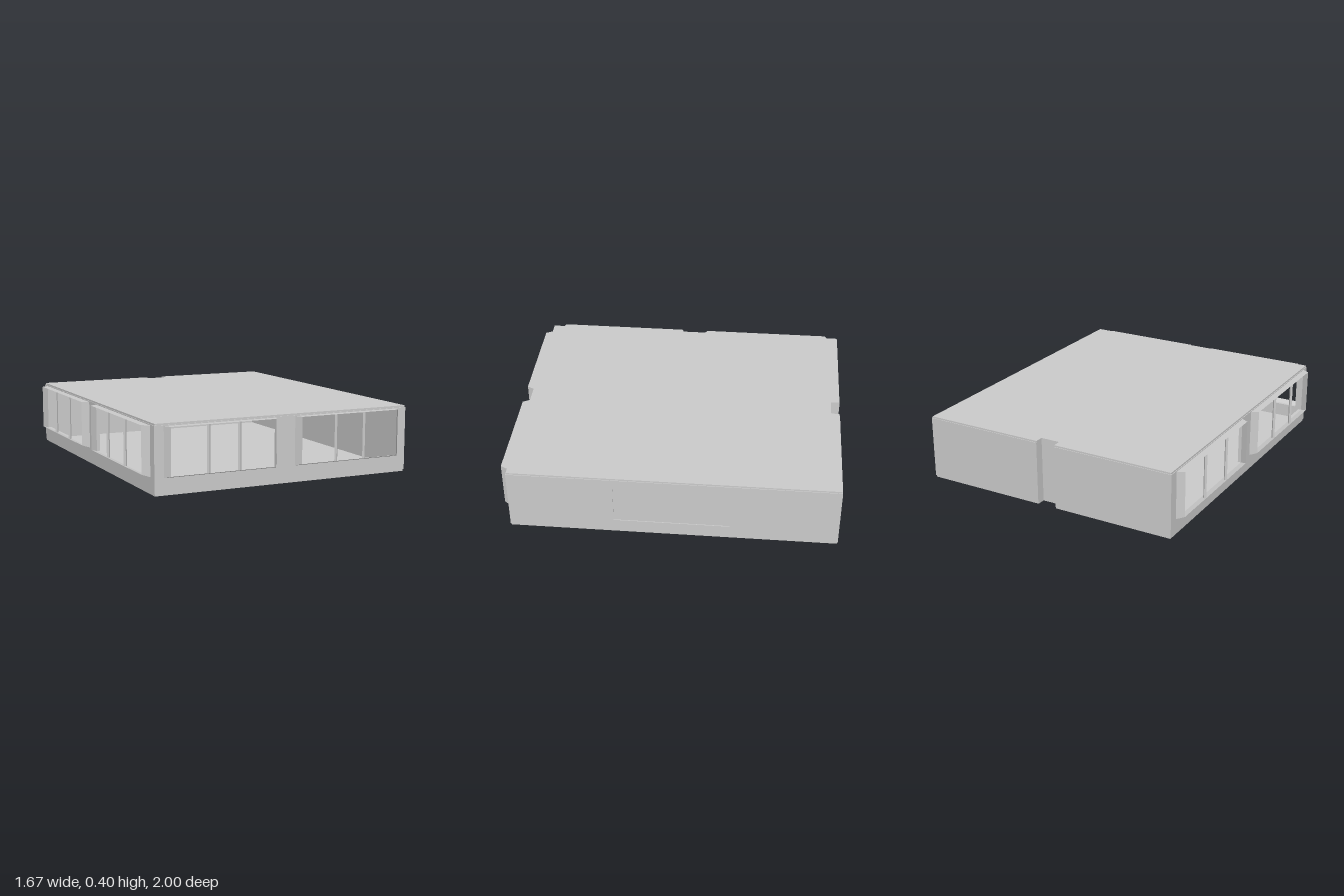
import * as THREE from 'three';

const mat = new THREE.MeshStandardMaterial({ color: 0xcccccc, flatShading: true, side: THREE.DoubleSide });
const LEFT = -0.797, RIGHT = 0.83, FRONT = 0.957, BACK = -1, HEIGHT = 0.4;
const WALL = 0.02, LOW = 0.012, TOP = 0.39;
const SILL = 0.098, HEAD = 0.385, DEPTH = 0.043, SLANT = 0.023;

function add(group, name, geometry, x = 0, y = 0, z = 0) {
  const m = new THREE.Mesh(geometry, mat);
  m.name = name;
  m.position.set(x, y, z);
  group.add(m);
  return m;
}

function block(group, name, x0, x1, y0, y1, z0, z1) {
  return add(group, name, new THREE.BoxGeometry(x1 - x0, y1 - y0, z1 - z0),
    (x0 + x1) / 2, (y0 + y1) / 2, (z0 + z1) / 2);
}

function polygon(points, Type = THREE.Shape) {
  return new Type(points.map(p => new THREE.Vector2(...p)));
}

const rect = (x0, x1, y0, y1) => [[x0, y0], [x1, y0], [x1, y1], [x0, y1]];

// Flat panel with rectangular openings, its outer face at z = 0
function panel(group, name, u0, u1, holes, depth) {
  const shape = polygon(rect(u0, u1, LOW, TOP));
  holes.forEach(h => shape.holes.push(polygon(rect(...h), THREE.Path)));
  add(group, name, new THREE.ExtrudeGeometry(shape, { depth, bevelEnabled: false }), 0, 0, -depth);
}

// Floor or roof plate with the service notch in its back edge
function slab(group, name, y0, y1, inset) {
  const l = LEFT + inset, r = RIGHT - inset, f = FRONT - inset, b = BACK + inset;
  const shape = polygon([[l, -f], [r, -f], [r, -b], [0.075, -b], [0.075, 0.945], [-0.045, 0.945], [-0.045, -b], [l, -b]]);
  const geo = new THREE.ExtrudeGeometry(shape, { depth: y1 - y0, bevelEnabled: false });
  geo.rotateX(-Math.PI / 2);
  add(group, name, geo, 0, y0, 0);
}

// Tapered open window surround with two mullions
function bay(group, u0, u1, mullions) {
  const g = new THREE.Group();
  g.name = 'windowBay';
  const inner = rect(u0, u1, SILL, HEAD).map(p => [...p, 0]);
  const outer = rect(u0 + SLANT, u1 - SLANT, SILL + 0.013, HEAD).map(p => [...p, DEPTH]);
  const pos = [];
  for (let i = 0; i < 4; i++) {
    const j = (i + 1) % 4;
    pos.push(...inner[i], ...inner[j], ...outer[j], ...inner[i], ...outer[j], ...outer[i]);
  }
  const geo = new THREE.BufferGeometry();
  geo.setAttribute('position', new THREE.Float32BufferAttribute(pos, 3));
  geo.computeVertexNormals();
  add(g, 'windowSurround', geo);
  const h = HEAD - SILL - 0.013;
  mullions.forEach(t => add(g, 'mullion', new THREE.CylinderGeometry(0.01, 0.01, h, 4),
    u0 + (u1 - u0) * t, HEAD - h / 2, DEPTH - 0.01));
  group.add(g);
}

function facade(name, u0, u1, bays, mullions) {
  const g = new THREE.Group();
  g.name = name;
  panel(g, 'windowWall', u0, u1, bays.map(([a, b]) => [a, b, SILL, HEAD]), WALL);
  bays.forEach(([a, b]) => bay(g, a, b, mullions));
  return g;
}

export function createModel() {
  const model = new THREE.Group();
  model.name = 'buildingStorey';

  slab(model, 'floorSlab', 0, 0.016, 0.004);
  slab(model, 'roofSlab', HEAD, HEIGHT, 0.004);

  // Window fronts
  const front = facade('frontFacade', LEFT, RIGHT, [[-0.74, -0.047], [0.075, 0.77]], [0.365, 0.64]);
  front.position.z = FRONT;
  const side = facade('sideFacade', BACK, FRONT, [[-0.94, -0.085], [0.042, 0.9]], [0.34, 0.66]);
  side.position.x = LEFT;
  side.rotation.y = -Math.PI / 2;
  model.add(front, side);

  // Blank side wall with a shallow recessed panel
  const blank = new THREE.Group();
  blank.name = 'blankWall';
  panel(blank, 'recessFrame', -FRONT, -BACK, [[-0.33, 0.36, 0.088, 0.325]], 0.005);
  block(blank, 'recessPanel', -FRONT, -BACK, LOW, TOP, -WALL, -0.005);
  blank.position.x = RIGHT;
  blank.rotation.y = Math.PI / 2;
  model.add(blank);

  // Back wall folding around the notch
  const w = 0.012;
  const back = polygon([
    [LEFT, 1], [-0.045, 1], [-0.045, 0.945], [0.075, 0.945], [0.075, 1], [RIGHT, 1],
    [RIGHT, 1 - WALL], [0.075 + w, 1 - WALL], [0.075 + w, 0.945 - w],
    [-0.045 - w, 0.945 - w], [-0.045 - w, 1 - WALL], [LEFT, 1 - WALL],
  ]);
  const geo = new THREE.ExtrudeGeometry(back, { depth: TOP - LOW, bevelEnabled: false });
  geo.rotateX(-Math.PI / 2);
  add(model, 'backWall', geo, 0, LOW, 0);

  return model;
}
